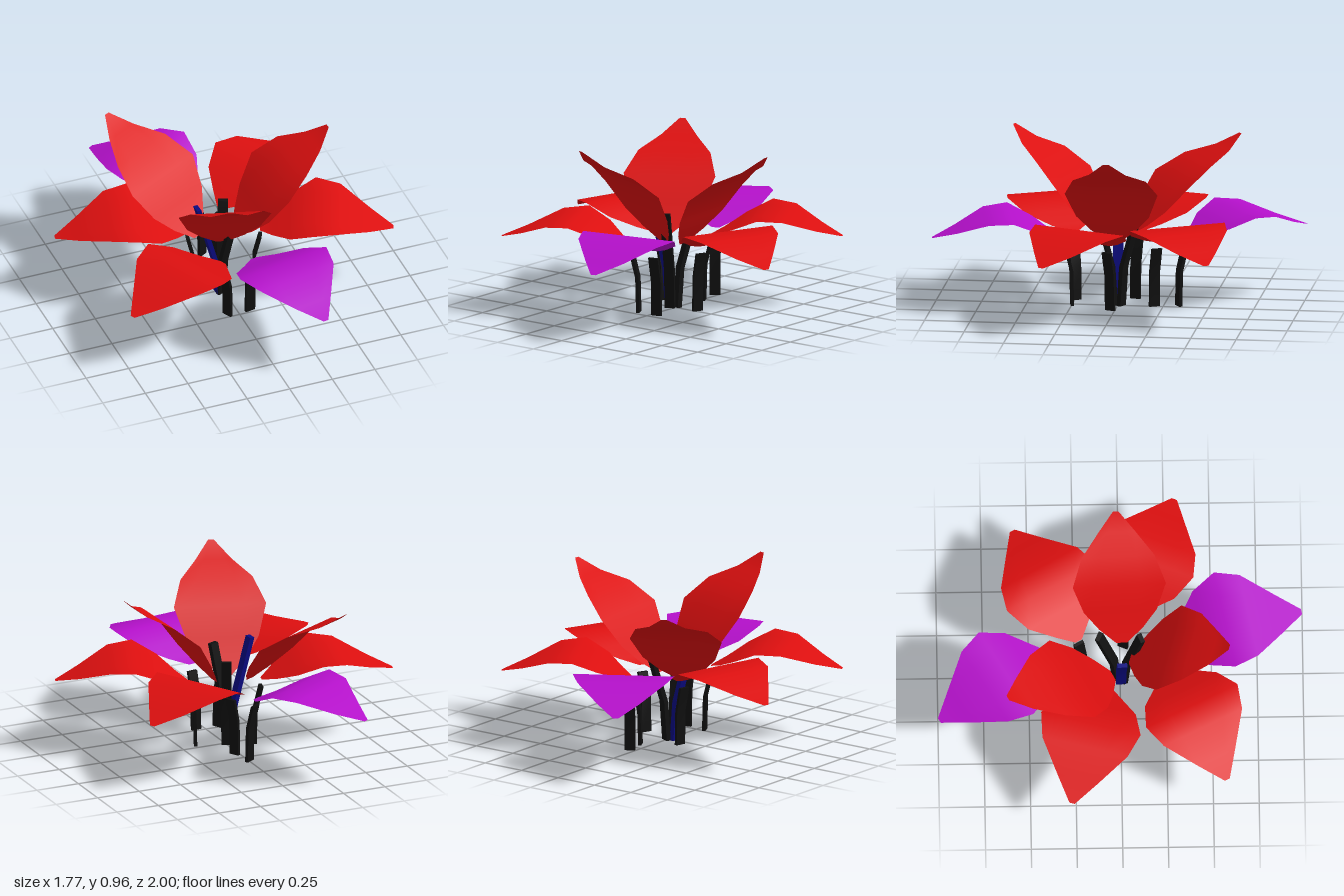
import * as THREE from 'three';

const material = (name, color) => {
  const m = new THREE.MeshStandardMaterial({ color, side: THREE.DoubleSide });
  m.name = name;
  return m;
};

// Petal rows from base to tip: [distance outward, height, half width]
const OUTER_ROWS = [
  [0, 0.38, 0.02], [0.07, 0.41, 0.105], [0.168, 0.465, 0.22], [0.3, 0.527, 0.28],
  [0.435, 0.515, 0.24], [0.6, 0.445, 0.115], [0.73, 0.4, 0.015],
];
// Upright petal rows, with distance and height as fractions of the whole
const INNER_ROWS = [
  [0, 0, 0.03], [0.1, 0.13, 0.12], [0.22, 0.3, 0.2], [0.39, 0.56, 0.255],
  [0.62, 0.75, 0.2], [0.84, 0.86, 0.1], [1, 1, 0.015],
];

// A sheet lofted through the rows, pointing along +z
function petalGeometry(rows) {
  const across = 4;
  const geo = new THREE.PlaneGeometry(1, 1, across, rows.length - 1);
  const pos = geo.attributes.position;
  for (let i = 0; i < pos.count; i++) {
    const [out, height, half] = rows[Math.floor(i / (across + 1))];
    pos.setXYZ(i, pos.getX(i) * 2 * half, height, out);
  }
  geo.computeVertexNormals();
  return geo;
}

// A flat bent strip through three [distance outward, height] points, bottom to top
function stamenGeometry(path, width, thickness) {
  const geo = new THREE.BoxGeometry(width, 2, thickness, 1, 2, 1);
  const pos = geo.attributes.position;
  for (let i = 0; i < pos.count; i++) {
    const [out, height] = path[Math.round(pos.getY(i)) + 1];
    pos.setY(i, height);
    pos.setZ(i, pos.getZ(i) + out);
  }
  geo.computeVertexNormals();
  return geo;
}

export function createModel() {
  const flower = new THREE.Group();
  flower.name = 'flower';
  const red = material('petal red', 0xdc0f0f);
  const purple = material('petal purple', 0xb410ca);
  const black = material('stamen black', 0x101010);
  const blue = material('stamen blue', 0x0a0a80);

  // Puts a part at its base point, turned to face the tip point
  const place = (name, geo, mat, [bx, bz], [tx, tz]) => {
    const mesh = new THREE.Mesh(geo, mat);
    mesh.name = name;
    mesh.position.set(bx, 0, bz);
    mesh.rotation.y = Math.atan2(tx - bx, tz - bz);
    flower.add(mesh);
  };

  // Six drooping outer petals, each with a short stamen under its base
  const outerPetal = petalGeometry(OUTER_ROWS);
  const shortStamen = stamenGeometry([[-0.038, 0.01], [-0.033, 0.205], [0, 0.34]], 0.058, 0.018);
  const outer = [
    ['right', red, [0.205, 0.033], [0.88, 0.31]],
    ['backRight', red, [0.07, -0.225], [0.71, -0.58]],
    ['back', purple, [-0.01, -0.37], [-0.39, -0.995]],
    ['left', red, [-0.175, -0.09], [-0.88, -0.275]],
    ['frontLeft', red, [-0.1, 0.255], [-0.755, 0.575]],
    ['front', purple, [0.07, 0.28], [0.215, 0.995]],
  ];
  for (const [side, mat, base, tip] of outer) {
    place(side + 'OuterPetal', outerPetal, mat, base, tip);
    place(side + 'ShortStamen', shortStamen, black, base, tip);
  }

  // Three raised inner petals
  const inner = [
    ['right', [0.06, 0.01], [0.62, -0.015], 0.93],
    ['front', [-0.03, 0.055], [-0.19, 0.595], 0.96],
    ['back', [-0.13, -0.04], [-0.44, -0.62], 0.885],
  ];
  for (const [side, base, tip, top] of inner) {
    const length = Math.hypot(tip[0] - base[0], tip[1] - base[1]);
    const rows = INNER_ROWS.map(([s, h, w]) => [s * length, 0.37 + h * (top - 0.37), w]);
    place(side + 'InnerPetal', petalGeometry(rows), red, base, tip);
  }

  // Three tall stamens leaning out from the centre
  const tall = [
    ['leftTallStamen', blue, [-0.035, 0.005], [-0.155, 0.01], 0.595],
    ['backTallStamen', black, [0.0, -0.02], [0.045, -0.115], 0.515],
    ['frontTallStamen', black, [-0.02, 0.02], [0.02, 0.115], 0.55],
  ];
  for (const [name, mat, base, tip, top] of tall) {
    const reach = Math.hypot(tip[0] - base[0], tip[1] - base[1]);
    const path = [[0, 0], [reach * 0.15, 0.22], [reach, top]];
    place(name, stamenGeometry(path, 0.055, 0.025), mat, base, tip);
  }
  return flower;
}
